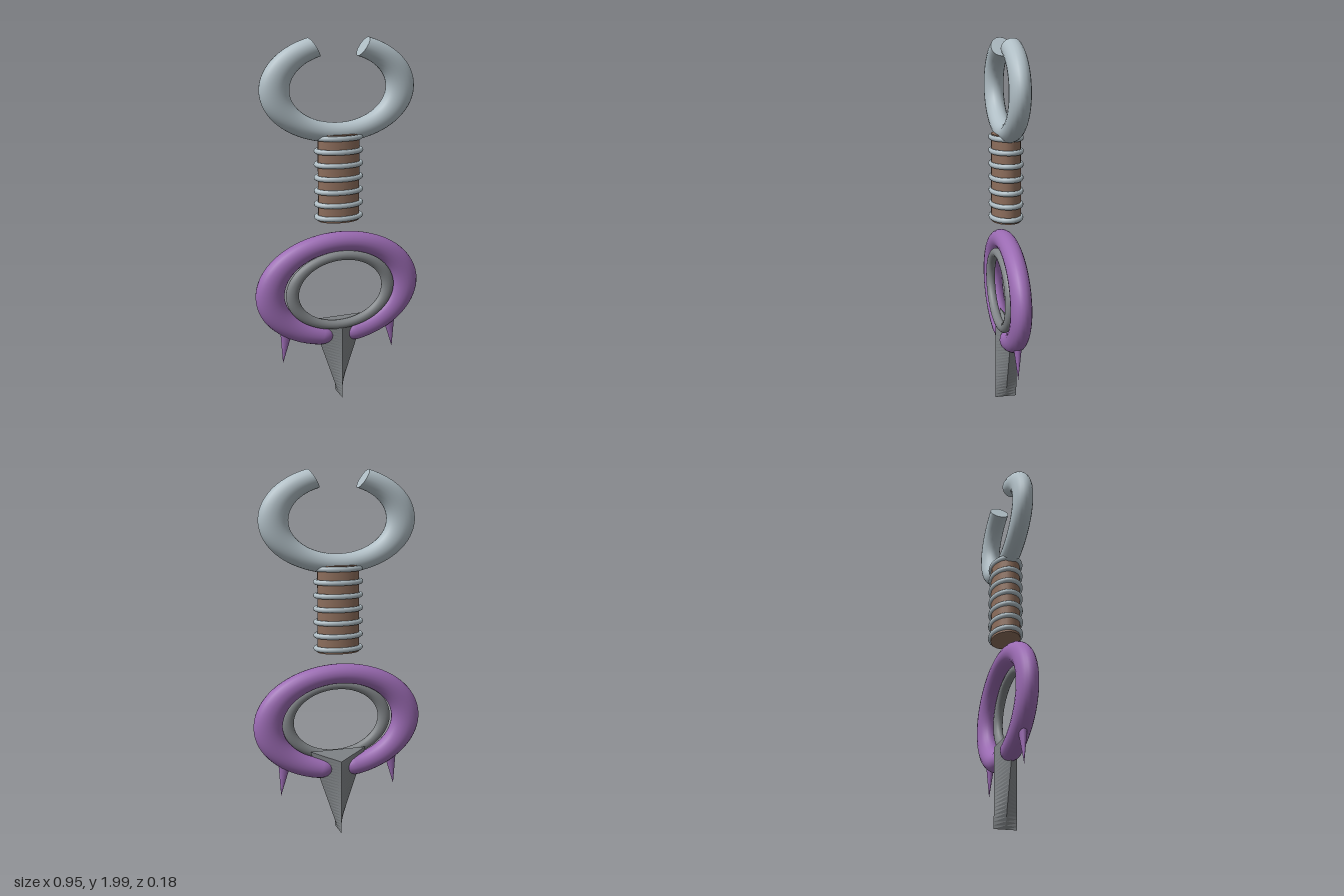
import * as THREE from 'three';

const mat = (name, color, extra = {}) => {
  const m = new THREE.MeshStandardMaterial({ color, ...extra });
  m.name = name;
  return m;
};

export function createModel() {
  const group = new THREE.Group();
  const steel = mat('pale steel', 0xb0bec5);
  const purple = mat('purple', 0x9b6bb3);
  const grey = mat('iron grey', 0x808487);
  const brown = mat('leather brown', 0x8d6e5c);

  const add = (name, geometry, material, x = 0, y = 0, z = 0) => {
    const mesh = new THREE.Mesh(geometry, material);
    mesh.name = name;
    mesh.position.set(x, y, z);
    group.add(mesh);
    return mesh;
  };

  // Open oval ring: a torus arc with flat or rounded ends, squashed in y and z
  const openRing = (name, R, tube, gapAngle, halfGap, scale, y, material, round) => {
    const start = gapAngle + halfGap;
    const arc = Math.PI * 2 - halfGap * 2;
    const body = new THREE.TorusGeometry(R, tube, 20, 72, arc);
    body.rotateZ(start).scale(...scale);
    add(name, body, material, 0, y);
    [[start, 1], [start + arc, -1]].forEach(([a, side]) => {
      const end = round
        ? new THREE.SphereGeometry(tube, 20, 14)
        : new THREE.CircleGeometry(tube, 20).rotateX(side * Math.PI / 2);
      end.translate(R, 0, 0).rotateZ(a).scale(...scale);
      add(name + 'End', end, material, 0, y);
    });
  };

  // Pommel ring, open at the top
  openRing('pommelRing', 0.35, 0.08, Math.PI / 2, 0.4, [1, 0.655, 0.68], 1.735, steel, false);

  // Oval grip wrapped in thin wire rings
  const grip = new THREE.CylinderGeometry(0.115, 0.115, 0.47, 20);
  grip.scale(1, 1, 0.68);
  add('grip', grip, brown, 0, 1.265);
  for (let i = 0; i < 7; i++) {
    const wire = new THREE.TorusGeometry(0.123, 0.014, 10, 36);
    wire.rotateX(Math.PI / 2).scale(1, 1, 0.67);
    add('gripWire', wire, steel, 0, 1.053 + i * 0.0715);
  }

  // Guard ring, open at the bottom with rounded tips
  openRing('guardRing', 0.395, 0.08, -Math.PI / 2, 0.27, [1, 0.683, 0.68], 0.637, purple, true);

  // Small inner ring set toward the front
  const inner = new THREE.TorusGeometry(0.28, 0.036, 16, 64);
  inner.scale(1, 0.71, 0.7);
  add('innerRing', inner, grey, 0, 0.637, 0.035);

  // Spikes under the guard
  for (const s of [-1, 1]) {
    const spike = new THREE.ConeGeometry(0.038, 0.2, 16);
    spike.rotateX(Math.PI).scale(1, 1, 0.65);
    add('guardSpike', spike, purple, s * 0.317, 0.34).rotation.z = s * 0.12;
  }

  // Blade: diamond sections whose width runs out to an edge along z at the bottom
  const steps = 24, pos = [];
  const corners = (t) => [
    [0, 0.42 * t, 0.06], [0.16 * t, 0.475 * t, 0],
    [0, 0.42 * t, -0.06], [-0.16 * t, 0.475 * t, 0],
  ];
  const tri = (...p) => p.forEach((v) => pos.push(...v));
  for (let i = 0; i < steps; i++) {
    const a = corners(i / steps), b = corners((i + 1) / steps);
    for (let k = 0; k < 4; k++) {
      const n = (k + 1) % 4;
      tri(a[k], a[n], b[n]);
      tri(a[k], b[n], b[k]);
    }
  }
  const [front, right, back, left] = corners(1);
  tri(front, right, left);
  tri(back, left, right);
  const blade = new THREE.BufferGeometry();
  blade.setAttribute('position', new THREE.Float32BufferAttribute(pos, 3));
  blade.computeVertexNormals();
  add('blade', blade, grey);

  return group;
}
